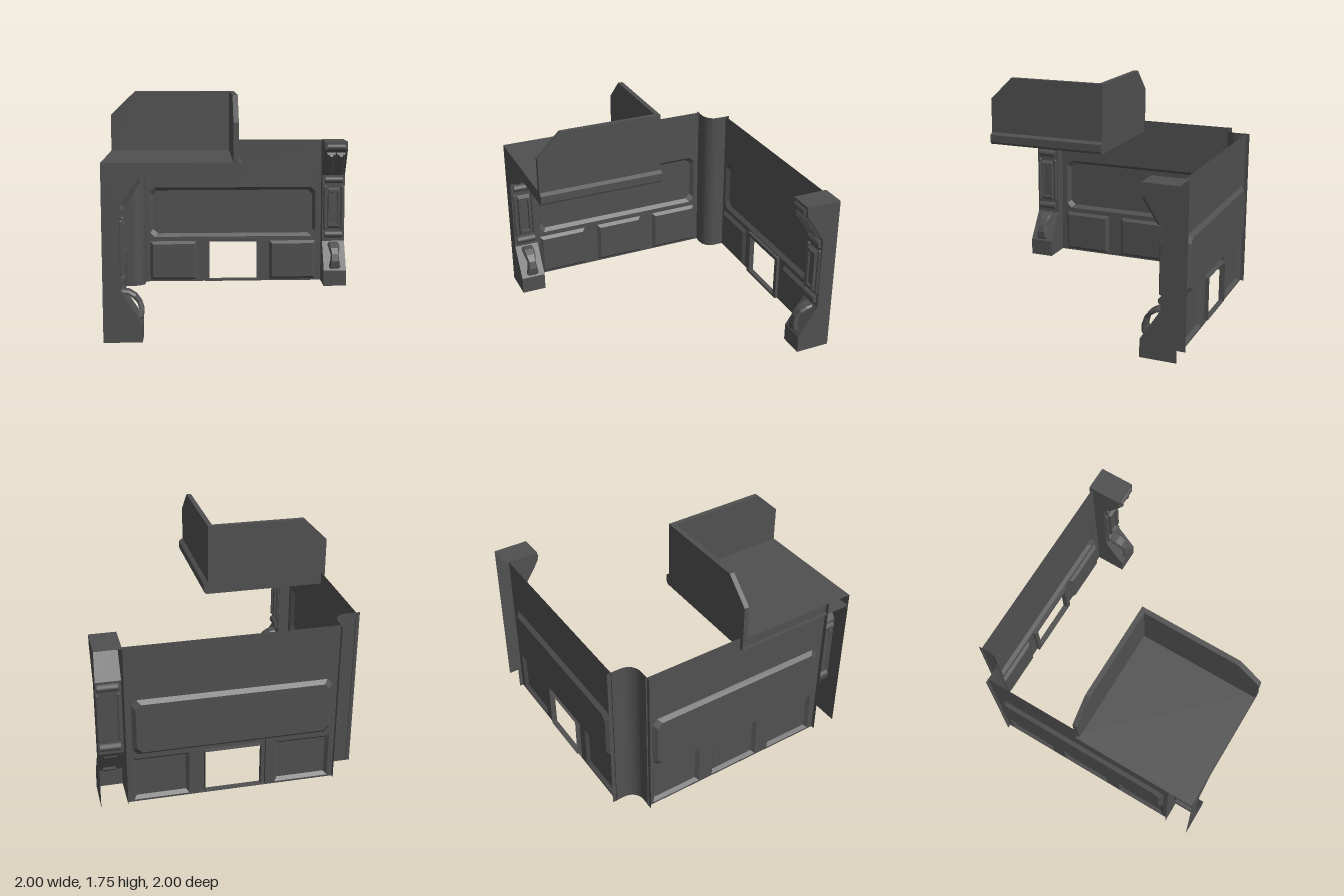
import * as THREE from 'three';

const material = new THREE.MeshStandardMaterial({ color: 0x505050, side: THREE.DoubleSide });
const HEIGHT = 1.29;

function add(parent, name, geometry, x = 0, y = 0, z = 0) {
  const mesh = new THREE.Mesh(geometry, material);
  mesh.name = name;
  mesh.position.set(x, y, z);
  parent.add(mesh);
  return mesh;
}

// Skin between successive cross-sections, optionally closed around and capped
function loft(rings, closed = true, cap = false) {
  const p = [];
  const tri = (...pts) => pts.forEach((v) => p.push(...v));
  for (let r = 0; r + 1 < rings.length; r++) {
    const a = rings[r], b = rings[r + 1], n = a.length;
    for (let i = 0; i < (closed ? n : n - 1); i++) {
      const j = (i + 1) % n;
      tri(a[i], a[j], b[j]);
      tri(a[i], b[j], b[i]);
    }
  }
  const end = rings[rings.length - 1];
  if (cap) for (let i = 1; i + 1 < end.length; i++) tri(end[0], end[i], end[i + 1]);
  const g = new THREE.BufferGeometry();
  g.setAttribute('position', new THREE.Float32BufferAttribute(p, 3));
  g.computeVertexNormals();
  return g;
}

// Rectangle outline at depth z, with cut corners of size c
function rect(x0, x1, y0, y1, z, c = 0) {
  if (!c) return [[x0, y0, z], [x1, y0, z], [x1, y1, z], [x0, y1, z]];
  return [[x0 + c, y0, z], [x1 - c, y0, z], [x1, y0 + c, z], [x1, y1 - c, z],
    [x1 - c, y1, z], [x0 + c, y1, z], [x0, y1 - c, z], [x0, y0 + c, z]];
}

// Bevelled plate standing on z0 and reaching z1
function plate(x0, x1, y0, y1, z0, z1, b, c = 0) {
  return loft([rect(x0, x1, y0, y1, z0, c), rect(x0 + b, x1 - b, y0 + b, y1 - b, z1, c)], true, true);
}

const shapeOf = (pts) => new THREE.Shape(pts.map(([x, y]) => new THREE.Vector2(x, y)));

// Wall sheet with a sunken upper panel and three lower bays
function buildWall(name, withOpening) {
  const wall = new THREE.Group();
  wall.name = name;
  const face = 0.03, front = 0.055;
  const sheet = shapeOf(rect(-0.8, 0.8, 0, HEIGHT, 0));
  const cut = (loop) => sheet.holes.push(shapeOf(loop));

  cut(rect(-0.75, 0.75, 0.41, 0.86, 0, 0.04));
  add(wall, 'sunkenPanel', plate(-0.75, 0.75, 0.41, 0.86, face, 0, 0.028, 0.04));

  for (const cx of withOpening ? [-0.54, 0.54] : [-0.54, 0, 0.54]) {
    cut(rect(cx - 0.21, cx + 0.21, 0.015, 0.37, 0));
    add(wall, 'lowerPanel', plate(cx - 0.21, cx + 0.21, 0.015, 0.37, face, front, 0.024));
  }
  if (withOpening) {
    cut(rect(-0.255, 0.255, 0.004, 0.4, 0));
    add(wall, 'openingFrame', loft([
      rect(-0.255, 0.255, 0.004, 0.4, face), rect(-0.255, 0.255, 0.004, 0.4, front),
      rect(-0.215, 0.215, 0.022, 0.367, front), rect(-0.215, 0.215, 0.022, 0.367, 0.01)]));
  }
  add(wall, 'wallSheet', new THREE.ShapeGeometry(sheet), 0, 0, face);
  return wall;
}

// Buttress column, hollow and open at the back
function buildColumn(name) {
  const column = new THREE.Group();
  column.name = name;
  const profile = [[0.28, 0], [0.28, 0.14], [0.125, 0.38], [0.125, 0.98], [0.28, 1.22], [0.28, HEIGHT], [0, HEIGHT]];
  add(column, 'columnFace', loft([0.1, -0.1].map((x) => profile.map(([z, y]) => [x, y, z])), false));
  for (const x of [-0.1, 0.1]) {
    const side = new THREE.ShapeGeometry(shapeOf([[0, 0], ...profile]));
    add(column, 'columnSide', side.rotateY(-Math.PI / 2), x);
  }

  // Cross bars
  for (const [y, z] of [[1.24, 0.268], [0.935, 0.125], [0.44, 0.125]]) {
    const bar = new THREE.CylinderGeometry(0.03, 0.03, 0.155, 12);
    add(column, 'crossBar', bar.rotateZ(Math.PI / 2), 0, y, z);
  }

  // Twin ribbed pads on the upper slope
  const pads = new THREE.Group();
  pads.name = 'slopePads';
  pads.position.set(0, 1.095, 0.2);
  pads.rotation.x = Math.atan2(0.155, 0.24);
  for (const x of [-0.043, 0.043]) {
    add(pads, 'pad', plate(x - 0.04, x + 0.04, -0.115, 0.115, 0, 0.022, 0.008));
    add(pads, 'padRib', plate(x - 0.018, x + 0.018, -0.105, 0.105, 0.02, 0.036, 0.008));
  }
  column.add(pads);

  // Middle plate with a sunken face, between two rods
  const f = (dx, dy, z) => rect(-dx, dx, 0.68 - dy, 0.68 + dy, z);
  add(column, 'middlePlate', loft([f(0.052, 0.185, 0.125), f(0.05, 0.165, 0.156),
    f(0.034, 0.145, 0.156), f(0.03, 0.14, 0.142)], true, true));
  for (const x of [-0.077, 0.077]) {
    add(column, 'rod', new THREE.CapsuleGeometry(0.015, 0.37, 3, 8), x, 0.685, 0.132);
  }

  // Curved handle on the lower slope, waisted below its head
  const outer = [[0.13, 0.372], [0.185, 0.365], [0.235, 0.335], [0.272, 0.285], [0.29, 0.225], [0.285, 0.165], [0.262, 0.145]];
  const inner = [[0.13, 0.345], [0.175, 0.338], [0.212, 0.312], [0.242, 0.275], [0.256, 0.225], [0.255, 0.18], [0.25, 0.16]];
  const half = [0.05, 0.05, 0.045, 0.033, 0.04, 0.052, 0.045];
  add(column, 'handle', loft(outer.map(([z, y], i) => {
    const w = half[i], [iz, iy] = inner[i];
    return [[-w, iy, iz], [w, iy, iz], [w, (y + iy) / 2, (z + iz) / 2], [w * 0.75, y, z],
      [-w * 0.75, y, z], [-w, (y + iy) / 2, (z + iz) / 2]];
  }), true, true));
  return column;
}

// Upright guard board with a cut upper corner at x = -1
function railing(end) {
  const s = shapeOf([[-1, HEIGHT], [end, HEIGHT], [end, 1.755], [-0.81, 1.755], [-1, 1.57]]);
  return new THREE.ExtrudeGeometry(s, { depth: 0.038, bevelEnabled: false });
}

export function createModel() {
  const model = new THREE.Group();
  model.name = 'roomCorner';

  // Walls and columns
  const backWall = buildWall('backWall', true);
  backWall.position.z = -1;
  const sideWall = buildWall('sideWall', false);
  sideWall.position.x = -1;
  sideWall.rotation.y = Math.PI / 2;
  const backColumn = buildColumn('backColumn');
  backColumn.position.set(0.9, 0, -1);
  const frontColumn = buildColumn('frontColumn');
  frontColumn.position.set(-1, 0, 0.9);
  frontColumn.rotation.y = Math.PI / 2;
  model.add(backWall, sideWall, backColumn, frontColumn);

  // Rounded pillar in the corner
  const plan = [[-1, -0.79]];
  for (let i = 0; i <= 6; i++) {
    const a = Math.PI / 2 * (1 - i / 6);
    plan.push([-0.89 + 0.1 * Math.cos(a), -0.89 + 0.1 * Math.sin(a)]);
  }
  plan.push([-0.79, -1]);
  add(model, 'cornerPillar', loft([HEIGHT, 0].map((y) => plan.map(([x, z]) => [x, y, z])), false));

  // Raised platform with a moulded outer rim
  const platform = new THREE.Group();
  platform.name = 'platform';
  const section = [[-1, 1.19], [-0.025, 1.19], [-0.007, 1.197], [0, 1.212], [0, 1.272], [-0.03, HEIGHT], [-1, HEIGHT]];
  add(platform, 'platformSlab', loft([1, 0].map((z) => section.map(([x, y]) => [x, y, z])), false));
  for (const z of [0, 1]) add(platform, 'platformEnd', new THREE.ShapeGeometry(shapeOf(section)), 0, 0, z);
  add(platform, 'backRailing', railing(-0.034));
  add(platform, 'sideRailing', railing(0).rotateY(Math.PI / 2), -0.07);
  model.add(platform);

  return model;
}
